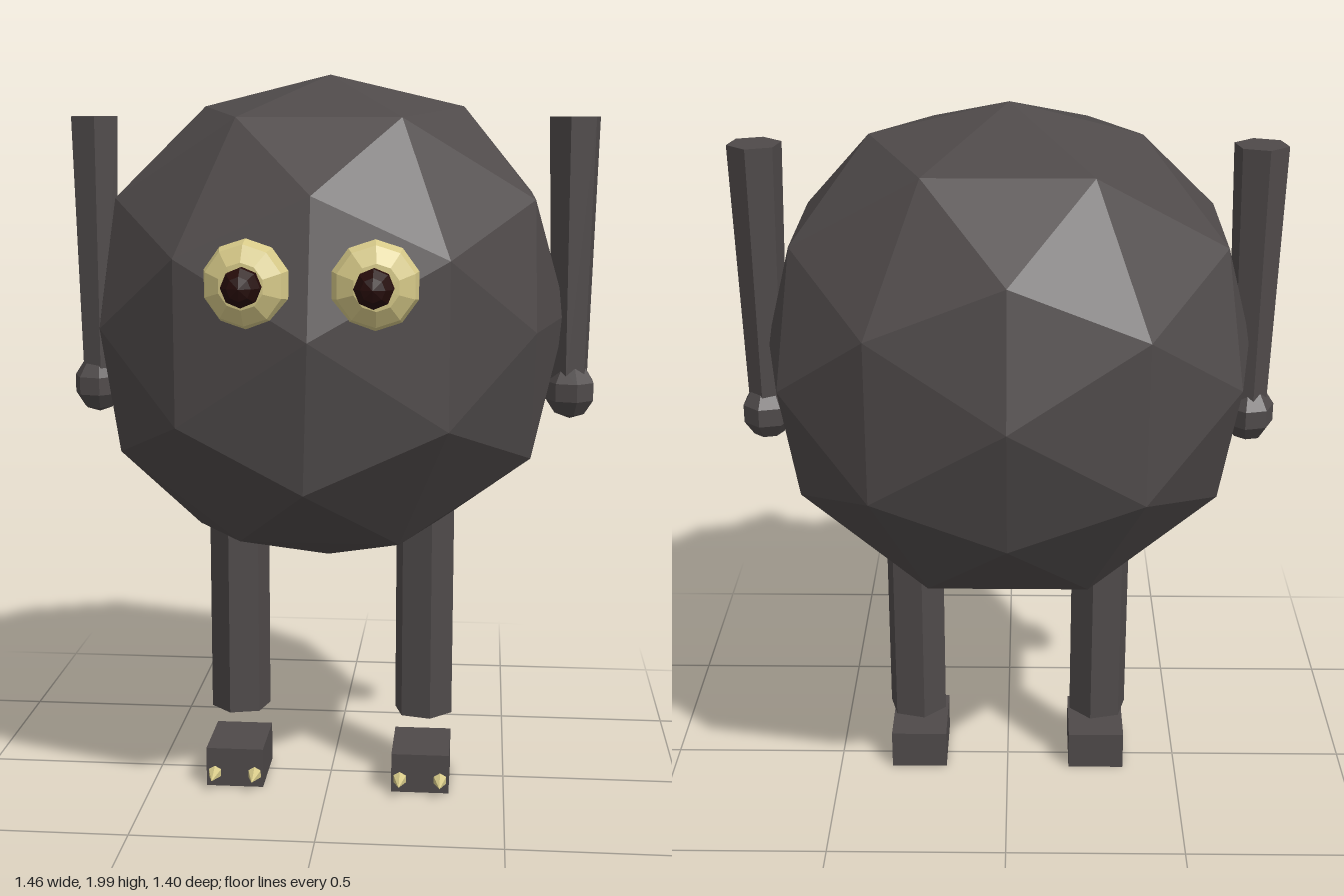
import * as THREE from 'three';

const mat = (name, color) => {
  const m = new THREE.MeshStandardMaterial({ color });
  m.name = name;
  m.flatShading = true;
  return m;
};

// Faceted ball, flatter at its six axis points, with a few uneven corners
function bodyGeometry() {
  const uneven = [
    [0, 0.67, 0.005], [-0.005, -0.675, 0.015],
    [0.655, 0.02, 0], [-0.65, 0.03, 0], [0, 0.02, 0.655], [0, 0.02, -0.665],
    [0.365, 0.585, 0.005], [-0.345, 0.585, 0.005], [0.335, -0.555, 0], [-0.375, -0.595, 0],
    [0, 0.37, 0.56], [-0.015, -0.37, 0.615], [0, 0.36, -0.595], [0, -0.345, -0.555],
    [0.565, 0.01, 0.335], [-0.58, 0.01, 0.345], [0.585, 0.01, -0.365], [-0.595, 0.01, -0.345],
  ].map((p) => new THREE.Vector3(...p));
  const geometry = new THREE.IcosahedronGeometry(0.69, 1);
  const pos = geometry.attributes.position;
  const v = new THREE.Vector3();
  for (let i = 0; i < pos.count; i++) {
    v.fromBufferAttribute(pos, i);
    const corner = uneven.find((u) => u.angleTo(v) < 0.2);
    if (corner) pos.setXYZ(i, corner.x, corner.y, corner.z);
  }
  geometry.computeVertexNormals();
  return geometry;
}

// Shallow dish-shaped eye, turned so that it faces +z
function eyeGeometry() {
  const profile = [[0.098, -0.05], [0.112, -0.015], [0.1, 0.018], [0.058, 0.044], [0, 0.048]];
  const points = profile.map(([r, h]) => new THREE.Vector2(r, h));
  return new THREE.LatheGeometry(points, 10).rotateX(Math.PI / 2);
}

export function createModel() {
  const group = new THREE.Group();
  const skin = mat('charcoal', 0x4f4a4a);
  const cream = mat('cream', 0xd6c988);
  const dark = mat('pupil dark', 0x260c0a);

  const add = (name, geometry, material, x, y, z) => {
    const mesh = new THREE.Mesh(geometry, material);
    mesh.name = name;
    mesh.position.set(x, y, z);
    group.add(mesh);
    return mesh;
  };

  add('body', bodyGeometry(), skin, -0.005, 1.332, -0.035);

  for (const [side, s] of [['left', 1], ['right', -1]]) {
    // Eyes turned slightly outwards, pupils protruding
    add(side + 'Eye', eyeGeometry(), cream, s * 0.16, 1.49, 0.587).rotation.y = s * 0.1;
    const pupil = new THREE.SphereGeometry(0.051, 8, 5).rotateX(Math.PI / 2);
    add(side + 'Pupil', pupil, dark, s * 0.16, 1.49, 0.652);

    // Arm widens towards its upper end; hand hangs at the bottom
    const arm = new THREE.CylinderGeometry(0.073, 0.053, 0.73, 6).rotateY(-s * 0.2);
    add(side + 'Arm', arm, skin, s * 0.66, 1.525, -0.024);
    const hand = new THREE.SphereGeometry(1, 7, 5).scale(0.072, 0.08, 0.08);
    add(side + 'Hand', hand, skin, s * 0.665, 1.143, -0.024);

    // Leg ends above the detached foot
    const leg = new THREE.CylinderGeometry(0.085, 0.085, 0.65, 6).rotateY(s * Math.PI / 12);
    add(side + 'Leg', leg, skin, s * 0.266, 0.522, -0.025);
    add(side + 'Foot', new THREE.BoxGeometry(0.162, 0.112, 0.218), skin, s * 0.264, 0.064, 0.033);

    // Two claws pointing forward
    for (const d of [-0.057, 0.057]) {
      const claw = new THREE.ConeGeometry(0.026, 0.085, 6).rotateX(Math.PI / 2);
      add(side + 'Claw', claw, cream, s * 0.264 + d, 0.047, 0.166);
    }
  }
  return group;
}
